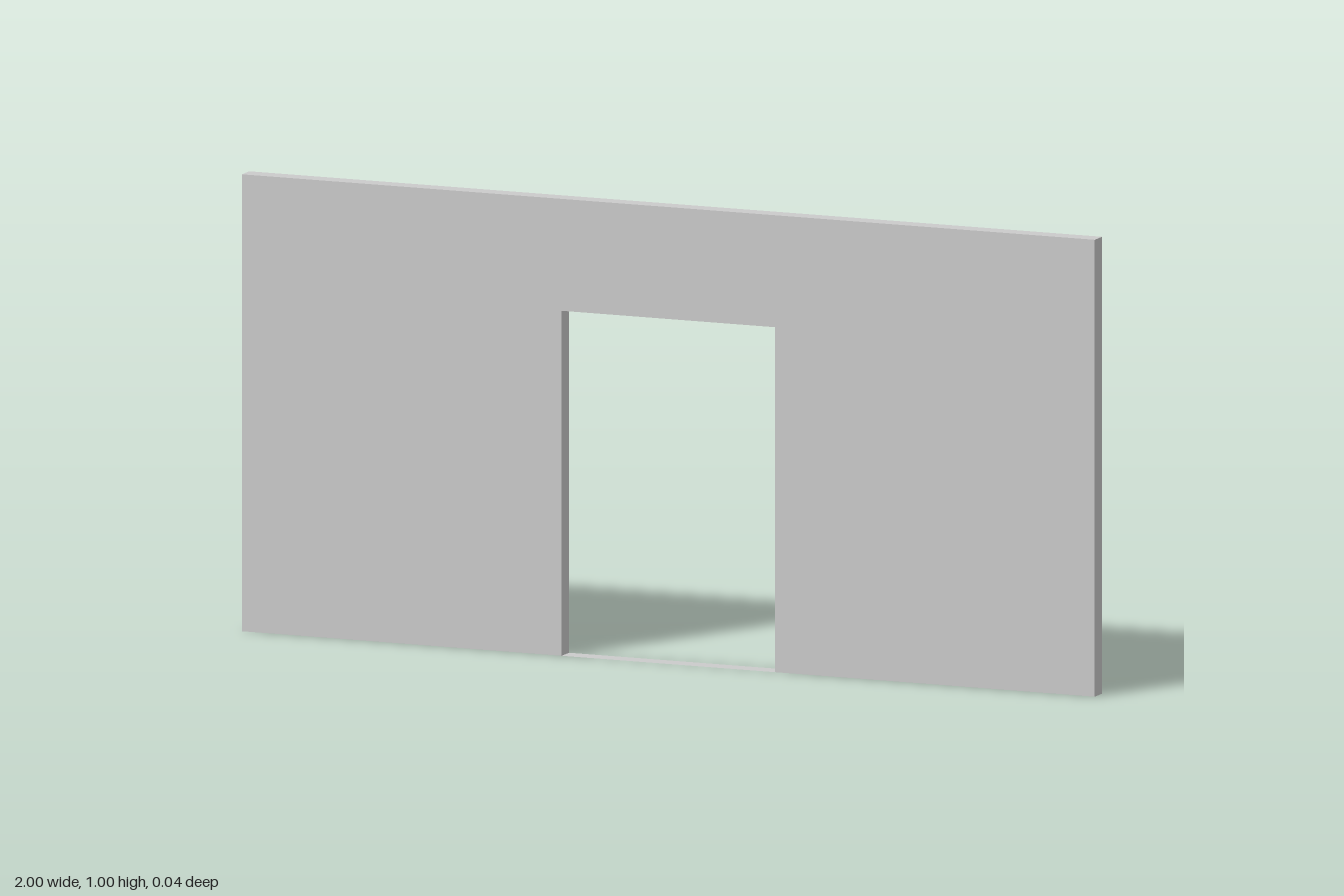
import * as THREE from 'three';

const WIDTH = 2, HEIGHT = 1, DEPTH = 0.04;
const DOOR_HALF = 0.25, DOOR_TOP = 0.755;

export function createModel() {
  const group = new THREE.Group();
  group.name = 'doorwayWall';
  const material = new THREE.MeshStandardMaterial({ color: 0xcccccc, side: THREE.DoubleSide });

  // Wall outline stepping around the doorway
  const w = WIDTH / 2;
  const outline = new THREE.Shape([
    [-w, 0], [-DOOR_HALF, 0], [-DOOR_HALF, DOOR_TOP], [DOOR_HALF, DOOR_TOP],
    [DOOR_HALF, 0], [w, 0], [w, HEIGHT], [-w, HEIGHT],
  ].map(([x, y]) => new THREE.Vector2(x, y)));
  const wallGeometry = new THREE.ExtrudeGeometry(outline, { depth: DEPTH, bevelEnabled: false });
  wallGeometry.translate(0, 0, -DEPTH / 2);
  const wall = new THREE.Mesh(wallGeometry, material);
  wall.name = 'wall';
  group.add(wall);

  // Paper-thin threshold closing the foot of the doorway
  const sillGeometry = new THREE.PlaneGeometry(DOOR_HALF * 2, DEPTH);
  sillGeometry.rotateX(-Math.PI / 2);
  const threshold = new THREE.Mesh(sillGeometry, material);
  threshold.name = 'threshold';
  group.add(threshold);

  return group;
}
